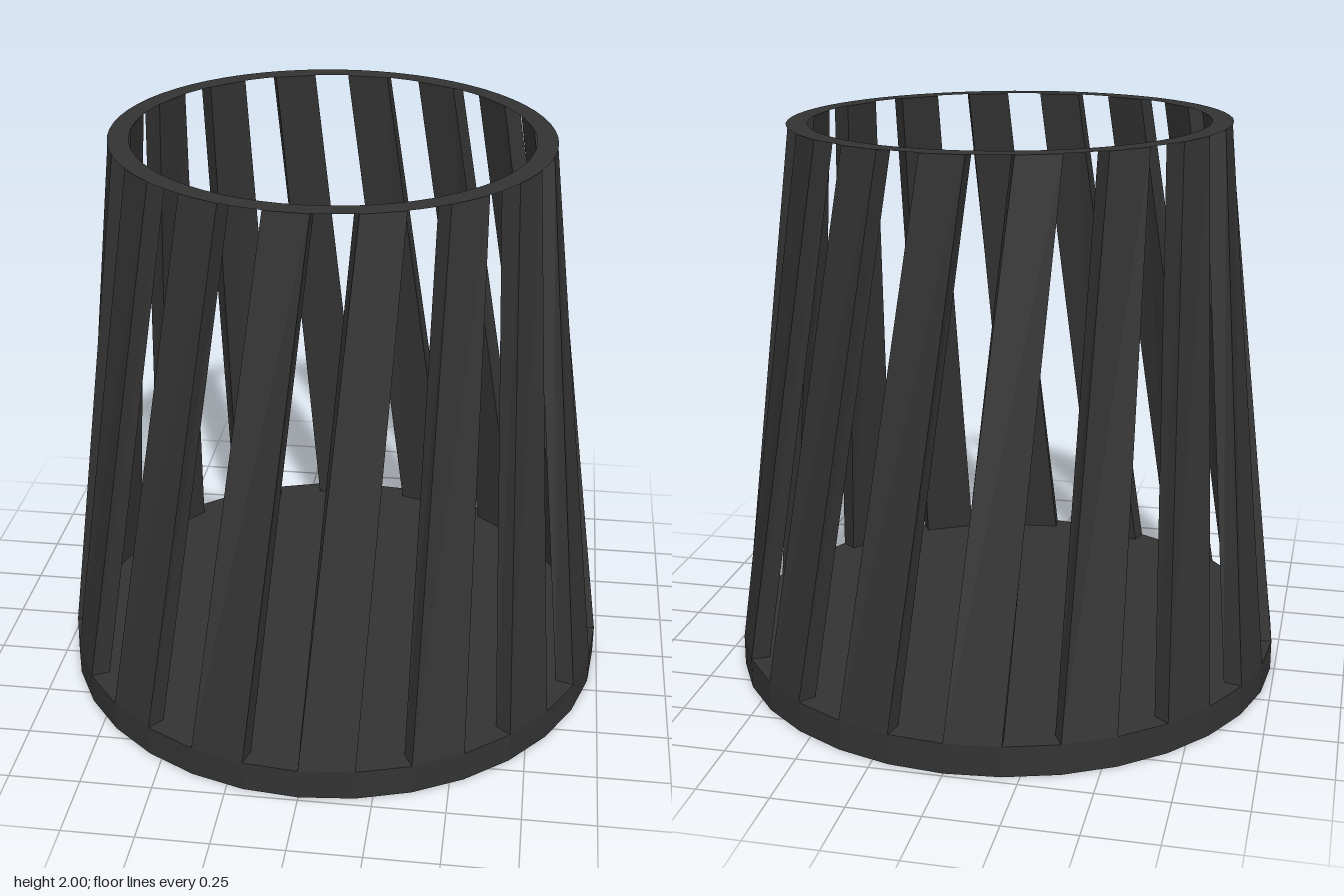
import * as THREE from 'three';

const SIDES = 32, STEP = (Math.PI * 2) / SIDES;
const BASE_R = 0.985, BASE_H = 0.11;
const RIM_R = 0.757, RIM_INNER = 0.688, RIM_X = -0.015, RIM_Z = -0.045;
const TWIST = THREE.MathUtils.degToRad(13.5), THICK = 0.066;

// The rim plane tips very slightly towards the front left
const rimHeight = (x, z) => 1.99 - 0.009 * x - 0.009 * z;

// One leaning slat: a box whose corners follow the base facet and the rim
function slatGeometry(angle) {
  const geo = new THREE.BoxGeometry(1, 1, 1).toNonIndexed();
  const p = geo.attributes.position;
  for (let i = 0; i < p.count; i++) {
    const top = p.getY(i) > 0, inner = p.getZ(i) < 0;
    const turn = top ? TWIST : 0;
    const a = angle + turn + (p.getX(i) > 0 ? STEP : 0);
    const mid = angle + turn + STEP / 2;
    const r = top ? RIM_R : BASE_R, inset = inner ? THICK : 0;
    const x = Math.sin(a) * r - Math.sin(mid) * inset + (top ? RIM_X : 0);
    const z = Math.cos(a) * r - Math.cos(mid) * inset + (top ? RIM_Z : 0);
    p.setXYZ(i, x, top ? rimHeight(x, z) : BASE_H, z);
  }
  geo.computeVertexNormals();
  return geo;
}

export function createModel() {
  const model = new THREE.Group();
  const mat = new THREE.MeshStandardMaterial({ color: 0x333333, flatShading: true });
  const thinMat = new THREE.MeshStandardMaterial({ color: 0x333333, side: THREE.DoubleSide });

  // Solid faceted base
  const base = new THREE.Mesh(new THREE.CylinderGeometry(BASE_R, BASE_R, BASE_H, SIDES), mat);
  base.name = 'base';
  base.position.y = BASE_H / 2;
  model.add(base);

  // A slat on every other facet of the base
  const slats = new THREE.Group();
  slats.name = 'slats';
  for (let k = 0; k < SIDES / 2; k++) {
    const slat = new THREE.Mesh(slatGeometry(k * 2 * STEP), mat);
    slat.name = 'slat';
    slats.add(slat);
  }
  model.add(slats);

  // Thin flat rim lying on the slat ends
  const rimGeo = new THREE.RingGeometry(RIM_INNER, RIM_R + 0.003, 64);
  rimGeo.rotateX(-Math.PI / 2).translate(RIM_X, 0, RIM_Z);
  const p = rimGeo.attributes.position;
  for (let i = 0; i < p.count; i++) p.setY(i, rimHeight(p.getX(i), p.getZ(i)) + 0.002);
  rimGeo.computeVertexNormals();
  const rim = new THREE.Mesh(rimGeo, thinMat);
  rim.name = 'rim';
  model.add(rim);

  return model;
}
